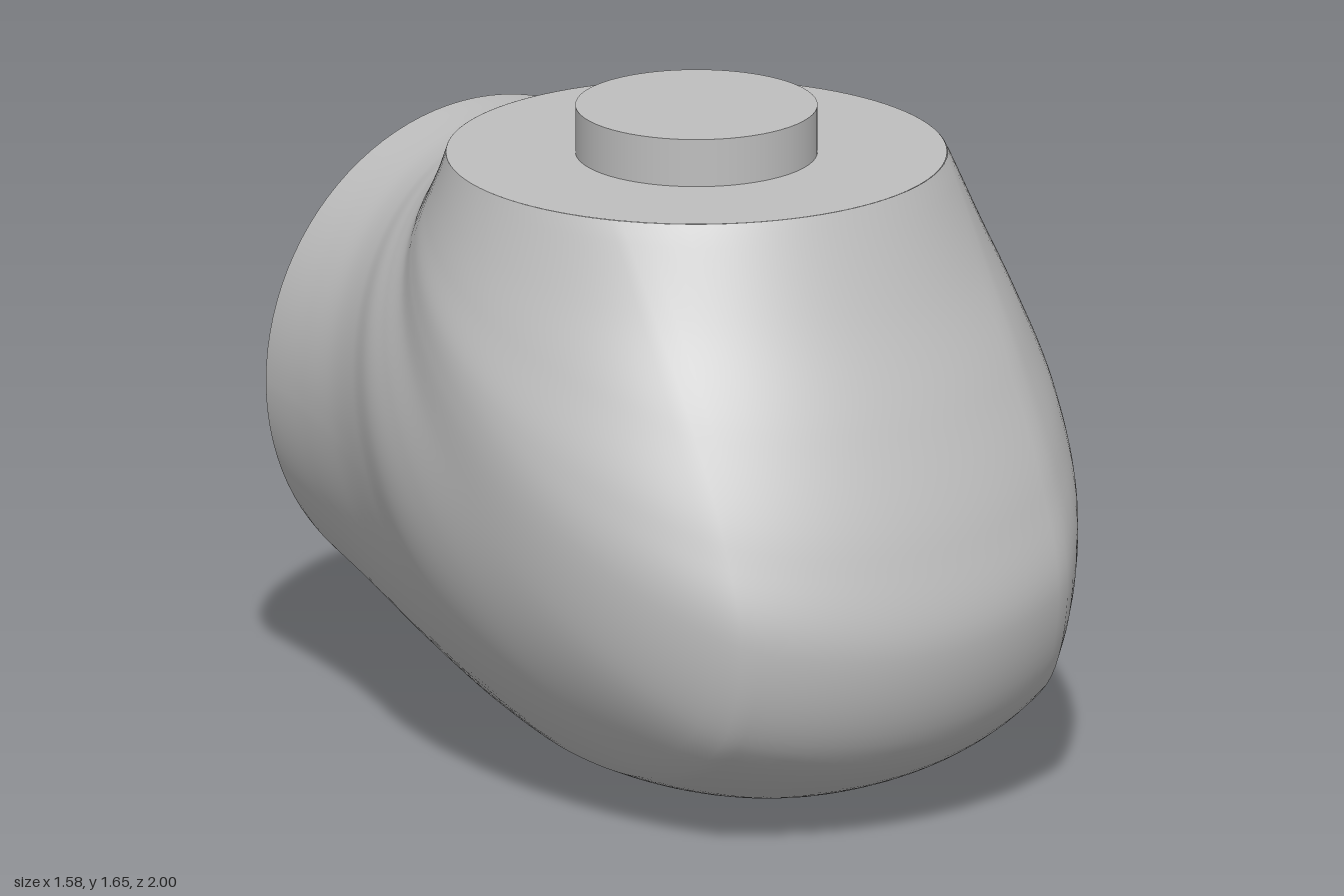
import * as THREE from 'three';

// Stations along the bend: [half width, outer y, outer z, inner y, inner z]
const STATIONS = [
  [0.612, 1.525, 0.58, 1.525, -0.645],
  [0.665, 1.27, 0.70, 1.505, -0.65],
  [0.715, 1.02, 0.83, 1.49, -0.66],
  [0.765, 0.74, 0.95, 1.475, -0.67],
  [0.785, 0.50, 1.00, 1.465, -0.69],
  [0.79, 0.22, 0.90, 1.46, -0.70],
  [0.785, 0.05, 0.60, 1.452, -0.715],
  [0.76, 0.0, 0.25, 1.445, -0.735],
  [0.705, 0.025, -0.10, 1.437, -0.77],
  [0.655, 0.088, -0.45, 1.428, -0.83],
  [0.63, 0.15, -0.75, 1.423, -0.90],
  [0.6185, 0.183, -1.0, 1.42, -1.0],
];
const CREASE_X = 0.48;

// Half section from the outer midline round the +x side to the inner midline.
// Returns [x, d] pairs, d measured outwards from the section centre.
function halfSection(w, a, inset) {
  const h = a - inset, pts = [];
  const outerN = 12, sideN = 16, innerN = 24;
  for (let i = 0; i < outerN; i++) {
    const x = CREASE_X * i / outerN;
    pts.push([x, Math.sqrt(a * a - (a * a - h * h) * (x / CREASE_X) ** 2)]);
  }
  for (let i = 0; i < sideN; i++) {
    const d = h * (1 - i / sideN);
    pts.push([Math.sqrt(w * w - (w * w - CREASE_X ** 2) * (d / h) ** 2), d]);
  }
  for (let i = 0; i <= innerN; i++) {
    const t = (i / innerN) * Math.PI / 2;
    pts.push([w * Math.cos(t), -a * Math.sin(t)]);
  }
  return pts;
}

// Elbow skin lofted through sections that fan around the inner corner
function elbowGeometry(rows = 96) {
  const outer = new THREE.CatmullRomCurve3(STATIONS.map(s => new THREE.Vector3(s[0], s[1], s[2])));
  const inner = new THREE.CatmullRomCurve3(STATIONS.map(s => new THREE.Vector3(0, s[3], s[4])));
  const pos = [], index = [];
  let n = 0;
  for (let i = 0; i <= rows; i++) {
    const t = i / rows;
    const o = outer.getPoint(t), w = o.x;
    o.x = 0;
    const p = inner.getPoint(t);
    const centre = o.clone().add(p).multiplyScalar(0.5);
    const a = o.distanceTo(p) / 2;
    const dir = o.clone().sub(centre).normalize();
    const inset = 0.23 - 0.1 * Math.pow(Math.max(0, Math.sin(Math.PI * t)), 0.7);
    const half = halfSection(w, a, inset);
    const mirrored = half.slice(1, -1).reverse().map(([x, d]) => [-x, d]);
    const ring = half.concat(mirrored);
    n = ring.length;
    for (const [x, d] of ring) pos.push(x, centre.y + dir.y * d, centre.z + dir.z * d);
  }
  for (let i = 0; i < rows; i++) {
    for (let j = 0; j < n; j++) {
      const k = (j + 1) % n;
      const a = i * n + j, b = i * n + k, c = a + n, d = b + n;
      index.push(a, c, b, c, d, b);
    }
  }
  const g = new THREE.BufferGeometry();
  g.setAttribute('position', new THREE.Float32BufferAttribute(pos, 3));
  g.setIndex(index);
  g.computeVertexNormals();
  return g;
}

export function createModel() {
  const model = new THREE.Group();
  model.name = 'elbowJoint';
  const grey = new THREE.MeshStandardMaterial({ color: 0xbebebe, side: THREE.DoubleSide });
  grey.name = 'grey';

  const add = (name, geometry, y = 0, z = 0) => {
    const mesh = new THREE.Mesh(geometry, grey);
    mesh.name = name;
    mesh.position.set(0, y, z);
    model.add(mesh);
    return mesh;
  };

  add('elbowBody', elbowGeometry());

  // Flat top with a round peg
  add('topFace', new THREE.CircleGeometry(0.612, 96).rotateX(-Math.PI / 2), 1.525, -0.0325);
  add('peg', new THREE.CylinderGeometry(0.296, 0.296, 0.12, 64), 1.585, -0.0325);

  // Flat back with a round socket
  const backY = 0.8015, depth = 0.12;
  add('backFace', new THREE.RingGeometry(0.3, 0.6185, 96).rotateY(Math.PI), backY, -1);
  add('socketWall', new THREE.CylinderGeometry(0.3, 0.3, depth, 96, 1, true).rotateX(Math.PI / 2),
    backY, -1 + depth / 2);
  add('socketFloor', new THREE.CircleGeometry(0.3, 96).rotateY(Math.PI), backY, -1 + depth);

  return model;
}
